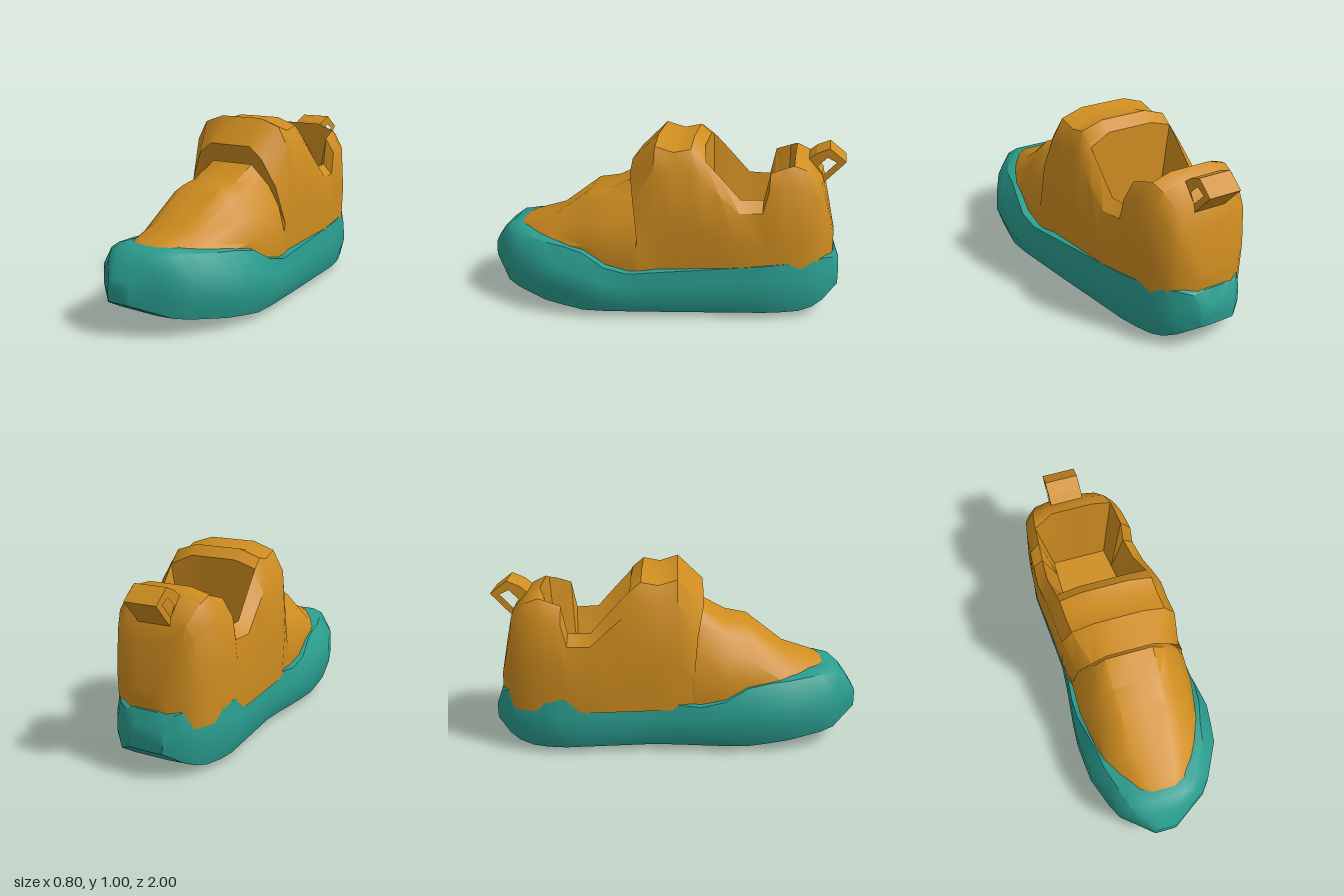
import * as THREE from 'three';
import { toCreasedNormals } from 'three/addons/utils/BufferGeometryUtils.js';

const TEAL = 0x2a9d8f;
const ORANGE = 0xcf8d20;
const { lerp, smoothstep } = THREE.MathUtils;

// Straight-line interpolation through [z, value] keys.
function curve(...keys) {
  return (z) => {
    let i = 1;
    while (i < keys.length - 1 && z > keys[i][0]) i++;
    const [z0, v0] = keys[i - 1], [z1, v1] = keys[i];
    return lerp(v0, v1, THREE.MathUtils.clamp((z - z0) / (z1 - z0), 0, 1));
  };
}

// Joins closed rings of [x, y, z] points, ordered from heel to toe, and caps both ends.
function loft(rings, crease) {
  const n = rings[0].length;
  const pos = rings.flat(2);
  const index = [];
  for (let i = 0; i < rings.length - 1; i++) {
    for (let j = 0; j < n; j++) {
      const a = i * n + j, b = i * n + (j + 1) % n;
      index.push(a, b, b + n, a, b + n, a + n);
    }
  }
  const cap = (points, start, front) => {
    const c = pos.length / 3;
    for (let k = 0; k < 3; k++) pos.push(points.reduce((s, p) => s + p[k], 0) / n);
    for (let j = 0; j < n; j++) {
      const a = start + j, b = start + (j + 1) % n;
      index.push(c, ...(front ? [a, b] : [b, a]));
    }
  };
  cap(rings[0], 0, false);
  cap(rings.at(-1), (rings.length - 1) * n, true);
  const geo = new THREE.BufferGeometry();
  geo.setAttribute('position', new THREE.Float32BufferAttribute(pos, 3));
  geo.setIndex(index);
  return toCreasedNormals(geo, crease);
}

// Mirrors a half section (bottom to top, ending on the centre line) into a ring.
function ring(cx, half) {
  const left = half.slice(0, -1).reverse().map(([x, y, z]) => [cx - x, y, z]);
  return [...half.map(([x, y, z]) => [cx + x, y, z]), ...left];
}

function part(name, geometry, color) {
  const mesh = new THREE.Mesh(geometry, new THREE.MeshStandardMaterial({ color }));
  mesh.name = name;
  return mesh;
}

function createSole() {
  const leftEdge = curve([-1, -0.22], [-0.9, -0.33], [-0.66, -0.41], [-0.1, -0.36],
    [0.35, -0.4], [0.6, -0.38], [0.85, -0.29], [1, -0.11]);
  const rightEdge = curve([-1, -0.02], [-0.9, 0.13], [-0.66, 0.23], [0.35, 0.4],
    [0.6, 0.37], [0.85, 0.24], [1, 0.02]);
  const bottom = curve([-1, 0.14], [-0.9, 0.06], [-0.8, 0.03], [0.4, 0.03], [0.85, 0.09], [1, 0.17]);
  const top = curve([-1, 0.24], [-0.96, 0.35], [-0.85, 0.36], [0.2, 0.28], [0.4, 0.4],
    [0.85, 0.435], [0.94, 0.37], [1, 0.27]);
  const topShare = curve([-1, 0.88], [-0.66, 0.95], [0.2, 0.95], [0.45, 0.8], [0.85, 0.72], [1, 0.9]);

  // Stations crowd together towards the rounded heel and toe
  const rings = [];
  const steps = 24;
  for (let i = 0; i <= steps; i++) {
    const z = -Math.cos(Math.PI * i / steps);
    const l = leftEdge(z), r = rightEdge(z), w = (r - l) / 2;
    // Share of the half width, share of the height
    const half = [[0.5, 0], [0.9, 0.02], [1, 0.32], [0.98, 0.65], [topShare(z), 0.94], [0.5, 1], [0, 1]];
    rings.push(ring((l + r) / 2, half.map(([u, v]) => [u * w, lerp(bottom(z), top(z), v), z])));
  }
  return part('sole', loft(rings, 0.7), TEAL);
}

function createUpper() {
  const halfWidth = curve([-0.96, 0.1], [-0.91, 0.19], [-0.88, 0.23], [-0.8, 0.27], [-0.68, 0.3],
    [-0.46, 0.33], [0.27, 0.33], [0.39, 0.31], [0.6, 0.27], [0.78, 0.2], [0.86, 0.1]);
  // z, height, and how far the top leans forward or back
  const stations = [
    [-0.96, 0.43], [-0.91, 0.65], [-0.88, 0.78], [-0.8, 0.87], [-0.73, 0.9], // heel
    [-0.69, 0.89], [-0.61, 0.86], [-0.58, 0.7], [-0.46, 0.7], [-0.35, 0.83], [-0.27, 0.92], // collar
    [-0.25, 0.94], [-0.19, 0.99], [-0.1, 0.97], [0, 1], // tongue
    [0.08, 0.86, 0.06], [0.09, 0.69, -0.03], // overhanging lip
    [0.12, 0.76], [0.27, 0.68], [0.39, 0.66], [0.6, 0.5], [0.78, 0.45], [0.86, 0.4], // instep and toe
  ];
  const base = 0.34;
  const floor = 0.38;
  const rings = stations.map(([z, top, lean = 0]) => {
    const w = halfWidth(z);
    const front = smoothstep(z, 0, 0.12); // upright walls at the back, sloping ones at the front
    const open = z > -0.7 && z < -0.26;
    const y = (v) => lerp(base, top, v);
    const inner = open ? floor : top;
    return ring(Math.min(-0.01, 0.085 * z - 0.035 * (1 - front)), [
      [0.96 * w, 0.25, z],
      [w, y(lerp(0.3, 0.18, front)), z],
      [w * lerp(0.94, 0.84, front), y(lerp(0.78, 0.53, front)), z + lean / 2],
      [w * lerp(0.76, 0.6, front), y(lerp(0.94, 0.86, front)), z + lean],
      [w * (open ? 0.52 : 0.4), inner, z + lean],
      [0, inner, z + lean],
    ]);
  });
  return part('upper', loft(rings, 0.65), ORANGE);
}

// Folded loop of strap at the heel
function createPullTab() {
  const outer = [[0.78, 0.85], [0.84, 0.9], [0.91, 0.93], [1, 0.86], [0.88, 0.73], [0.84, 0.76]];
  const inner = [[0.85, 0.83], [0.9, 0.88], [0.95, 0.855], [0.88, 0.78]];
  const toVec = ([x, y]) => new THREE.Vector2(x, y);
  const shape = new THREE.Shape(outer.map(toVec));
  shape.holes.push(new THREE.Path(inner.map(toVec)));
  const geo = new THREE.ExtrudeGeometry(shape, { depth: 0.18, bevelEnabled: false });
  geo.rotateY(Math.PI / 2);
  geo.translate(-0.2, 0, 0);
  return part('pullTab', geo, ORANGE);
}

// Small stud under the forefoot
function createStud() {
  const geo = new THREE.ConeGeometry(0.06, 0.035, 6);
  geo.rotateX(Math.PI);
  geo.translate(-0.16, 0.0175, 0.3);
  return part('stud', geo, TEAL);
}

export function createModel() {
  const group = new THREE.Group();
  group.name = 'shoe';
  group.add(createSole(), createUpper(), createPullTab(), createStud());
  return group;
}
